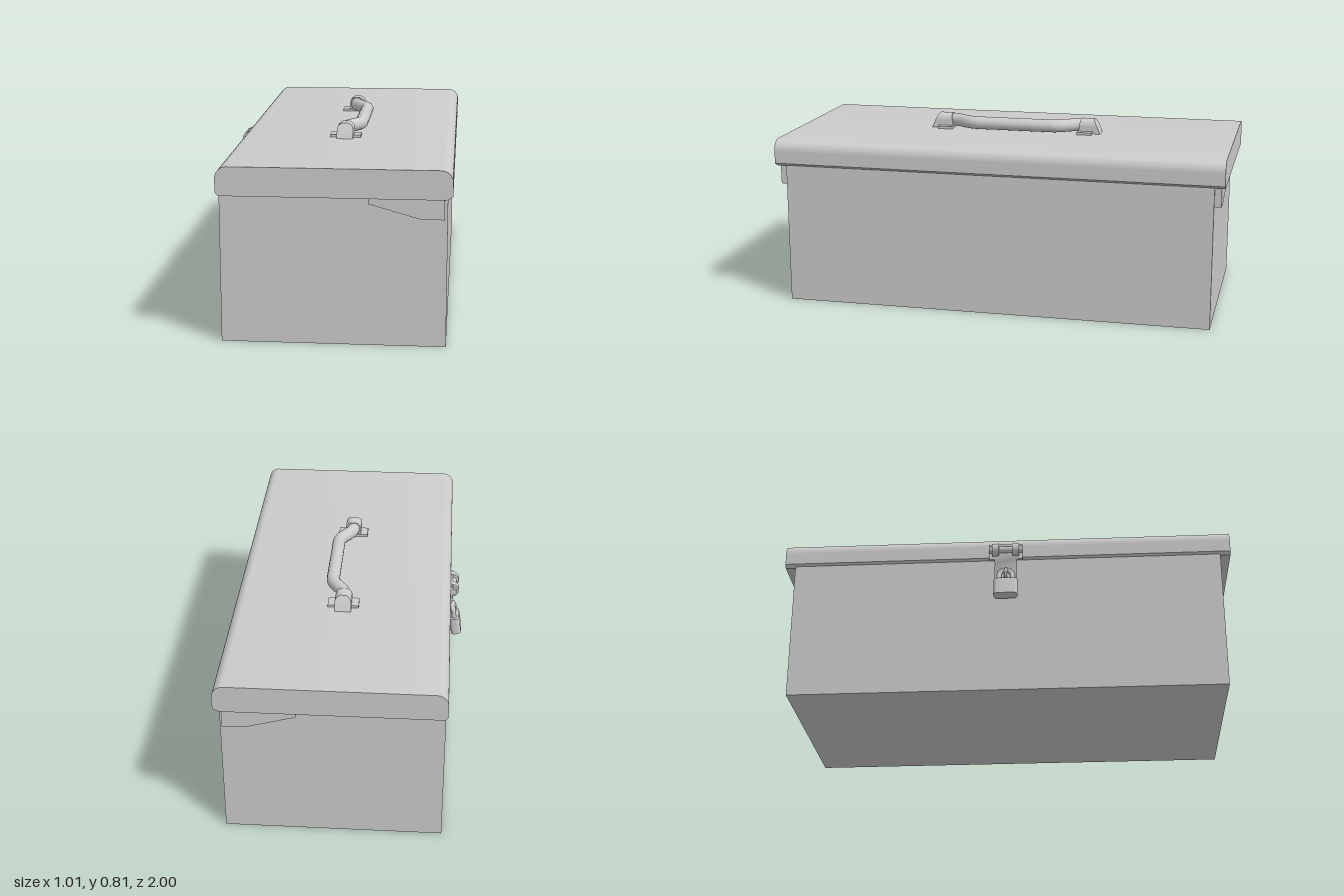
import * as THREE from 'three';
import { toCreasedNormals } from 'three/addons/utils/BufferGeometryUtils.js';

const material = new THREE.MeshStandardMaterial({ color: 0xcccccc });

function add(parent, name, geometry, x = 0, y = 0, z = 0) {
  const mesh = new THREE.Mesh(geometry, material);
  mesh.name = name;
  mesh.position.set(x, y, z);
  parent.add(mesh);
  return mesh;
}

// Extrude an XY shape between z0 and z1, smooth on curves and sharp on edges
function prism(shape, z0, z1) {
  const g = new THREE.ExtrudeGeometry(shape, { depth: z1 - z0, bevelEnabled: false, curveSegments: 10 });
  g.translate(0, 0, z0);
  return toCreasedNormals(g, 0.6);
}

const polygon = (points) => new THREE.Shape(points.map(([x, y]) => new THREE.Vector2(x, y)));

function lidShape() {
  const s = new THREE.Shape();
  s.moveTo(-0.438, 0.625);
  s.lineTo(0.475, 0.625);
  s.lineTo(0.5, 0.64);
  s.lineTo(0.5, 0.697);
  s.absarc(0.452, 0.697, 0.048, 0, Math.PI / 2);
  s.lineTo(-0.402, 0.745);
  s.absarc(-0.402, 0.697, 0.048, Math.PI / 2, Math.PI);
  s.lineTo(-0.45, 0.64);
  s.closePath();
  return s;
}

// Round-topped handle mount whose outer end leans inwards
function mountGeometry() {
  const s = new THREE.Shape();
  s.moveTo(-0.036, 0);
  s.lineTo(0.036, 0);
  s.lineTo(0.036, 0.035);
  s.absarc(0.006, 0.035, 0.03, 0, Math.PI / 2);
  s.absarc(-0.006, 0.035, 0.03, Math.PI / 2, Math.PI);
  s.closePath();
  const g = new THREE.ExtrudeGeometry(s, { depth: 0.1, bevelEnabled: false, curveSegments: 8 });
  const p = g.attributes.position;
  for (let i = 0; i < p.count; i++) {
    const lean = Math.max(0, p.getY(i) - 0.01) * 0.55;
    p.setZ(i, p.getZ(i) > 0.05 ? 0.395 - lean : 0.295 + lean * 0.3);
  }
  g.computeVertexNormals();
  return toCreasedNormals(g, 0.6);
}

function buildHandle() {
  const handle = new THREE.Group();
  handle.name = 'handle';
  const path = new THREE.CurvePath();
  const v = (x, z) => new THREE.Vector3(x, 0.779, z);
  // Straight runs joined by rounded bends
  path.add(new THREE.LineCurve3(v(0.016, -0.36), v(0.016, -0.315)));
  path.add(new THREE.QuadraticBezierCurve3(v(0.016, -0.315), v(0.016, -0.285), v(0.032, -0.262)));
  path.add(new THREE.LineCurve3(v(0.032, -0.262), v(0.06, -0.22)));
  path.add(new THREE.QuadraticBezierCurve3(v(0.06, -0.22), v(0.076, -0.195), v(0.076, -0.17)));
  path.add(new THREE.LineCurve3(v(0.076, -0.17), v(0.076, 0.17)));
  path.add(new THREE.QuadraticBezierCurve3(v(0.076, 0.17), v(0.076, 0.195), v(0.06, 0.22)));
  path.add(new THREE.LineCurve3(v(0.06, 0.22), v(0.032, 0.262)));
  path.add(new THREE.QuadraticBezierCurve3(v(0.032, 0.262), v(0.016, 0.285), v(0.016, 0.315)));
  path.add(new THREE.LineCurve3(v(0.016, 0.315), v(0.016, 0.36)));
  add(handle, 'grip', new THREE.TubeGeometry(path, 80, 0.029, 18));

  for (const side of [-1, 1]) {
    const mount = add(handle, 'handleMount', mountGeometry(), 0.018, 0.745, 0);
    if (side < 0) mount.rotation.y = Math.PI;
    add(handle, 'mountPlate', new THREE.BoxGeometry(0.135, 0.012, 0.068), 0.018, 0.75, side * 0.326);
  }
  return handle;
}

function buildHasp() {
  const hasp = new THREE.Group();
  hasp.name = 'hasp';
  // Hinge knuckles and pin on the lid edge
  const knuckle = new THREE.CylinderGeometry(0.032, 0.032, 0.03, 24).rotateX(Math.PI / 2);
  for (const z of [-0.045, 0.045]) add(hasp, 'knuckle', knuckle, -0.455, 0.673, z);
  const pin = new THREE.CylinderGeometry(0.015, 0.015, 0.15, 16).rotateX(Math.PI / 2);
  add(hasp, 'hingePin', pin, -0.462, 0.673, 0);
  add(hasp, 'hingeLeaf', new THREE.BoxGeometry(0.012, 0.075, 0.15), -0.453, 0.665, 0);
  // Hanging strap and the staple that passes through it
  const strap = polygon([[-0.462, 0.69], [-0.462, 0.63], [-0.45, 0.61], [-0.45, 0.515], [-0.438, 0.515], [-0.438, 0.69]]);
  add(hasp, 'strap', prism(strap, -0.05, 0.05));
  const staple = new THREE.TorusGeometry(0.024, 0.007, 8, 20);
  add(hasp, 'staple', staple, -0.45, 0.555, 0);
  return hasp;
}

function buildPadlock() {
  const lock = new THREE.Group();
  lock.name = 'padlock';
  lock.position.set(-0.477, 0.473, 0);
  lock.rotation.z = -0.15;
  // Body has a rounded outline when seen from above
  const s = new THREE.Shape();
  const [w, d, r] = [0.023, 0.053, 0.018];
  s.absarc(w - r, d - r, r, 0, Math.PI / 2);
  s.absarc(-w + r, d - r, r, Math.PI / 2, Math.PI);
  s.absarc(-w + r, -d + r, r, Math.PI, Math.PI * 1.5);
  s.absarc(w - r, -d + r, r, Math.PI * 1.5, Math.PI * 2);
  s.closePath();
  add(lock, 'padlockBody', prism(s, -0.04, 0.04).rotateX(-Math.PI / 2));

  const bow = new THREE.TorusGeometry(0.03, 0.011, 12, 20, Math.PI).rotateY(Math.PI / 2);
  add(lock, 'shackleBow', bow, 0, 0.068, 0);
  for (const z of [-0.03, 0.03]) {
    add(lock, 'shackleLeg', new THREE.CylinderGeometry(0.011, 0.011, 0.04, 12), 0, 0.05, z);
  }
  return lock;
}

export function createModel() {
  const model = new THREE.Group();
  model.name = 'toolbox';

  add(model, 'body', new THREE.BoxGeometry(0.922, 0.63, 1.91), 0.019, 0.315, 0);
  add(model, 'lid', prism(lidShape(), -1, 1));

  // Tapered hinge brackets under both lid ends
  const bracket = polygon([[0.165, 0.63], [0.165, 0.6], [0.375, 0.541], [0.468, 0.541], [0.468, 0.63]]);
  add(model, 'frontBracket', prism(bracket, 0.95, 0.985));
  add(model, 'backBracket', prism(bracket, -0.985, -0.95));

  model.add(buildHandle(), buildHasp(), buildPadlock());
  return model;
}
